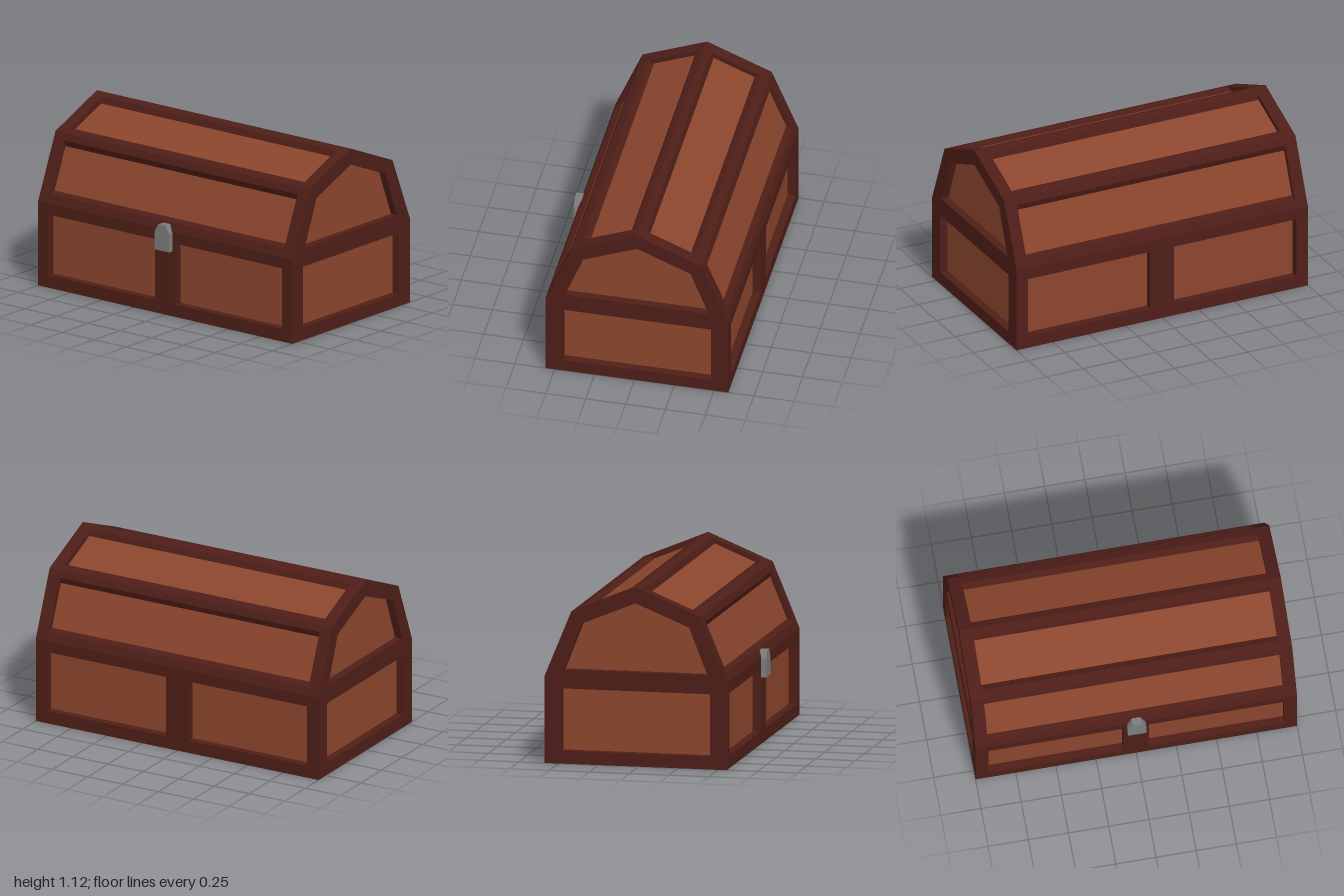
import * as THREE from 'three';

const CZ = -0.016;                       // chest centre in z, leaving room for the lock
const HALF = 0.573, EAVE = 0.54;         // body half depth and height
const KNEE = 0.405, KNEE_Y = 0.948, RIDGE_Y = 1.115;

const wood = new THREE.MeshStandardMaterial({ color: 0x4e1e18, flatShading: true });
const plank = new THREE.MeshStandardMaterial({ color: 0x8b452d, flatShading: true });
const metal = new THREE.MeshStandardMaterial({ color: 0x7c7c7c, flatShading: true });

const points = (list) => list.map(([x, y]) => new THREE.Vector2(x, y));
const rect = (x0, y0, x1, y1) => [[x0, y0], [x1, y0], [x1, y1], [x0, y1]];

function mesh(name, geometry, material) {
  const m = new THREE.Mesh(geometry, material);
  m.name = name;
  return m;
}

// Sloped or straight walls between an opening (counter-clockwise) and its sunken panel
function recessWalls(outer, inner, depth) {
  const pos = [];
  outer.forEach((a, i) => {
    const j = (i + 1) % outer.length;
    const A = [...a, 0], B = [...outer[j], 0];
    const a2 = [...inner[i], -depth], b2 = [...inner[j], -depth];
    pos.push(...A, ...B, ...b2, ...A, ...b2, ...a2);
  });
  const g = new THREE.BufferGeometry();
  g.setAttribute('position', new THREE.Float32BufferAttribute(pos, 3));
  g.computeVertexNormals();
  return g;
}

// One flat side: wooden frame with sunken plank panels, placed by its u and v axes
function panelledSide(name, origin, u, v, outline, openings, depth) {
  const side = new THREE.Group();
  side.name = name;
  const frame = new THREE.Shape(points(outline));
  for (const { outer, inner = outer } of openings) {
    frame.holes.push(new THREE.Path(points(outer)));
    side.add(mesh('recessWalls', recessWalls(outer, inner, depth), wood));
    const panel = mesh('panel', new THREE.ShapeGeometry(new THREE.Shape(points(inner))), plank);
    panel.position.z = -depth;
    side.add(panel);
  }
  side.add(mesh('frame', new THREE.ShapeGeometry(frame), wood));
  const n = new THREE.Vector3().crossVectors(u, v);
  side.quaternion.setFromRotationMatrix(new THREE.Matrix4().makeBasis(u, v, n));
  side.position.copy(origin);
  return side;
}

export function createModel() {
  const chest = new THREE.Group();
  chest.name = 'chest';
  const up = new THREE.Vector3(0, 1, 0);

  for (const s of [1, -1]) {
    const face = s > 0 ? 'front' : 'back';
    const u = new THREE.Vector3(s, 0, 0);

    // Upright body side with two panels
    chest.add(panelledSide(face + 'Body', new THREE.Vector3(0, 0, CZ + s * HALF), u, up,
      rect(-1, 0, 1, EAVE),
      [{ outer: rect(-0.92, 0.08, -0.08, 0.468) }, { outer: rect(0.08, 0.08, 0.92, 0.468) }], 0.05));

    // Two sloping lid sides
    const slopes = [
      ['LowerLid', HALF, EAVE, KNEE, KNEE_Y],
      ['UpperLid', KNEE, KNEE_Y, 0, RIDGE_Y],
    ];
    for (const [name, z0, y0, z1, y1] of slopes) {
      const v = new THREE.Vector3(0, y1 - y0, s * (z1 - z0));
      const len = v.length();
      const lo = 0.055, hi = len - 0.046, taper = 0.03;
      chest.add(panelledSide(face + name, new THREE.Vector3(0, y0, CZ + s * z0), u, v.normalize(),
        rect(-1, 0, 1, len),
        [{ outer: rect(-0.92, lo, 0.92, hi), inner: rect(-0.92, lo + taper, 0.92, hi - taper) }], 0.03));
    }

    // End wall with a square panel below and a gable panel above
    chest.add(panelledSide(s > 0 ? 'leftEnd' : 'rightEnd', new THREE.Vector3(s, 0, CZ),
      new THREE.Vector3(0, 0, -s), up,
      [[-HALF, 0], [HALF, 0], [HALF, EAVE], [KNEE, KNEE_Y], [0, RIDGE_Y], [-KNEE, KNEE_Y], [-HALF, EAVE]],
      [
        { outer: rect(-0.466, 0.08, 0.466, 0.468) },
        { outer: [[-0.451, 0.585], [0.451, 0.585], [0.336, 0.877], [0, 1.015], [-0.336, 0.877]] },
      ], 0.05));
  }

  // Underside
  const base = mesh('base', new THREE.PlaneGeometry(2, 2 * HALF), wood);
  base.rotation.x = Math.PI / 2;
  base.position.z = CZ;
  chest.add(base);

  // Lock plate with clipped top corners
  const plate = new THREE.Shape(points([
    [-0.057, 0.415], [0.057, 0.415], [0.057, 0.533], [0.027, 0.58], [-0.027, 0.58], [-0.057, 0.533]]));
  const lock = mesh('lock', new THREE.ExtrudeGeometry(plate, { depth: 0.05, bevelEnabled: false }), metal);
  lock.position.z = 0.539;
  chest.add(lock);

  return chest;
}
